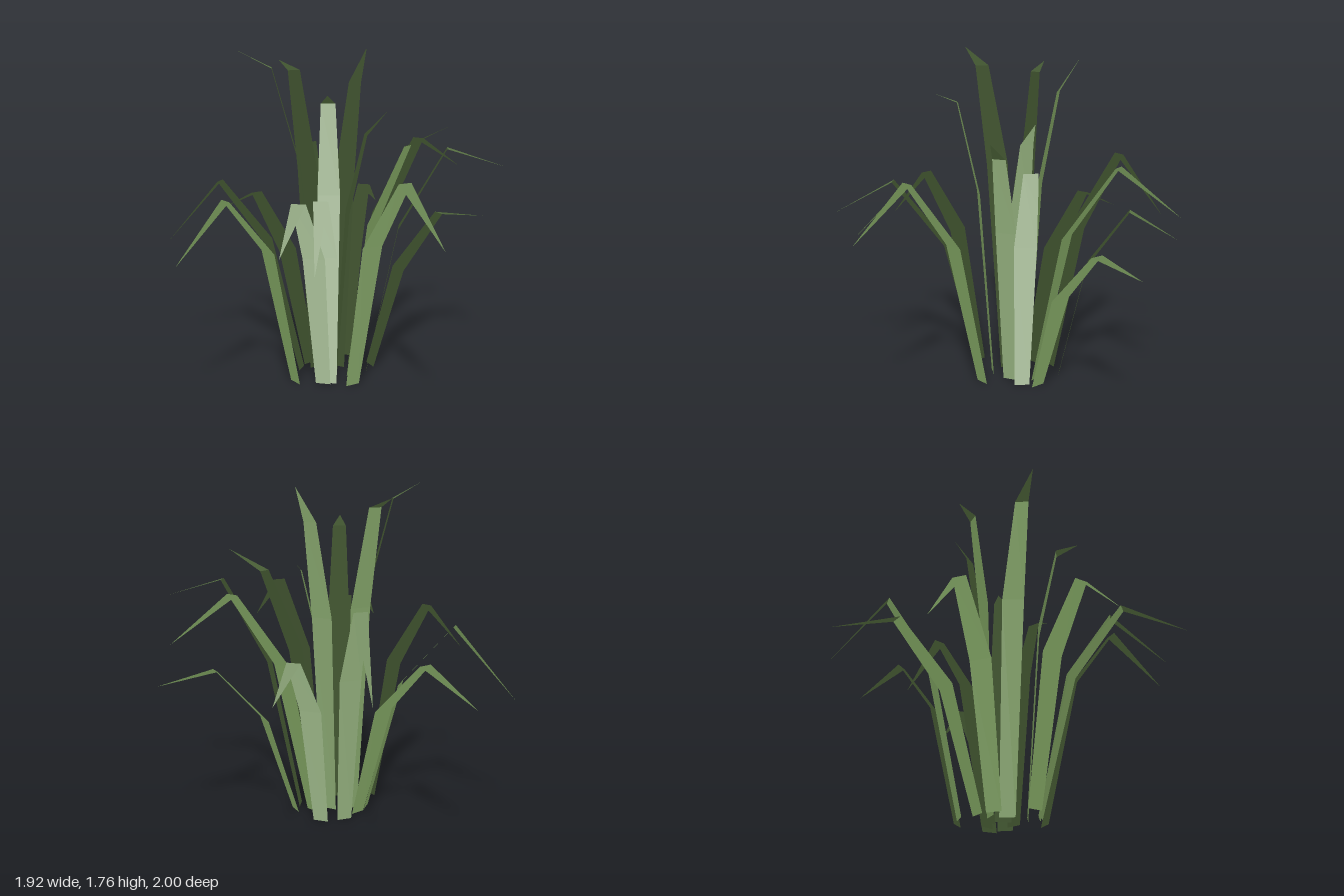
import * as THREE from 'three';

// Each blade: base x, z | tip x, z | kink height, bend height, tip height
// | direction x, z it faces, where that is not simply outward
const BLADES = [
  [-0.07, -0.17, -0.23, -1.00, 0.62, 0.91, 0.76],
  [0.04, -0.22, 0.26, -0.88, 0.80, 1.19, 0.81, 0.12, -1],
  [0.16, -0.18, 0.62, -0.60, 0.64, 0.94, 0.79],
  [0.13, -0.03, 0.96, -0.21, 0.84, 1.24, 1.04, 0.94, -0.34],
  [0.21, 0.02, 0.96, 0.04, 0.54, 0.83, 0.78],
  [0.15, 0.08, 0.73, 0.485, 0.82, 1.25, 1.16],
  [0.05, 0.08, 0.385, 0.475, 0.86, 1.28, 1.39, 0.45, 0.9],
  [-0.02, 0.22, 0.00, 1.00, 0.80, 1.17, 0.91],
  [-0.12, 0.14, -0.50, 0.70, 0.74, 1.08, 0.79],
  [-0.15, 0.13, -0.68, 0.71, 0.74, 1.08, 0.90],
  [-0.27, 0.04, -0.96, 0.15, 0.75, 1.05, 0.76],
  [-0.09, -0.02, -0.52, -0.07, 1.15, 1.67, 1.76, -0.82, -0.42],
  [-0.15, -0.12, -0.70, -0.69, 0.72, 1.04, 0.67],
  [0.04, -0.05, 0.295, -0.18, 1.07, 1.57, 1.75, 0.82, -0.57],
  [0.00, 0.00, 0.26, 0.09, 0.90, 1.31, 1.43],
  [-0.065, -0.10, -0.16, -0.34, 1.12, 1.64, 1.69, 0, -1],
  [-0.09, 0.09, -0.24, 0.35, 1.03, 1.51, 1.56],
];
const REACH = [0, 0.235, 0.585, 1]; // share of the outward run at each section
const HALF = [0.04, 0.058, 0.036, 0]; // half width at each section
const NORMAL_RISE = 0.7; // upward part of the shading normal

// A flat strip that leans out, kinks, bends and runs to a point.
// One outward and upward normal shades it evenly along its length.
function bladeGeometry([bx, bz, tx, tz, kinkY, bendY, tipY, faceX = tx - bx, faceZ = tz - bz]) {
  const facing = new THREE.Vector3(faceX, 0, faceZ).normalize();
  const normal = facing.clone().setY(NORMAL_RISE).normalize();
  const heights = [0, kinkY, bendY, tipY];
  const points = [];
  const normals = [];
  REACH.forEach((t, i) => {
    for (const s of [-HALF[i], HALF[i]]) {
      points.push(bx + (tx - bx) * t + facing.z * s, heights[i], bz + (tz - bz) * t - facing.x * s);
      normals.push(...normal.toArray());
    }
  });
  const index = [];
  for (let a = 0; a < 6; a += 2) {
    index.push(a, a + 1, a + 2);
    if (a < 4) index.push(a + 1, a + 3, a + 2);
  }
  const geometry = new THREE.BufferGeometry();
  geometry.setAttribute('position', new THREE.Float32BufferAttribute(points, 3));
  geometry.setAttribute('normal', new THREE.Float32BufferAttribute(normals, 3));
  geometry.setIndex(index);
  return geometry;
}

export function createModel() {
  const group = new THREE.Group();
  group.name = 'grassTuft';
  const green = new THREE.MeshStandardMaterial({ color: 0x66834d, side: THREE.DoubleSide });
  green.name = 'leafGreen';
  BLADES.forEach((blade, i) => {
    const mesh = new THREE.Mesh(bladeGeometry(blade), green);
    mesh.name = `blade${i + 1}`;
    group.add(mesh);
  });
  return group;
}
